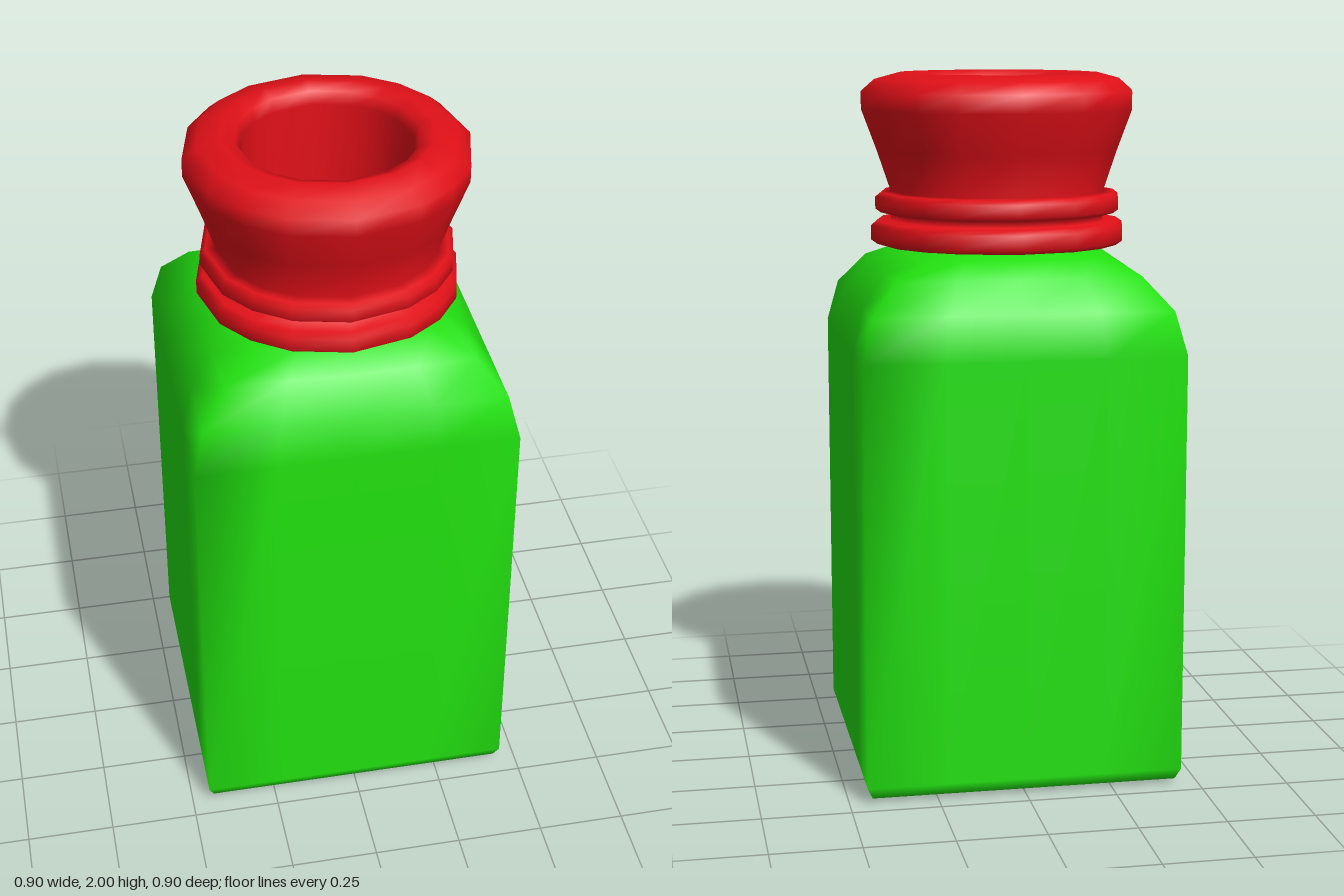
import * as THREE from 'three';

// Sixteen points around a square of half-width 1, counted from +x towards +z
const SQUARE = [];
for (let side = 0; side < 4; side++) {
  const c = [1, 0, -1, 0][side], s = [0, 1, 0, -1][side];
  for (const t of [-1, -0.5, 0, 0.5]) SQUARE.push([c - s * t, s + c * t]);
}

// Skins rings of [half-width, height, roundness]; roundness 0 = square, 1 = circle
function loft(name, material, rings) {
  const n = SQUARE.length, positions = [], index = [];
  for (const [r, y, round] of rings) {
    for (const [x, z] of SQUARE) {
      const k = r * (1 - round + round / Math.hypot(x, z));
      positions.push(x * k, y, z * k);
    }
  }
  for (let i = 0; i < rings.length - 1; i++) {
    for (let j = 0; j < n; j++) {
      const a = i * n + j, b = i * n + (j + 1) % n;
      index.push(a, a + n, b, b, a + n, b + n);
    }
  }
  const geometry = new THREE.BufferGeometry();
  geometry.setAttribute('position', new THREE.Float32BufferAttribute(positions, 3));
  geometry.setIndex(index);
  geometry.computeVertexNormals();
  const mesh = new THREE.Mesh(geometry, material);
  mesh.name = name;
  return mesh;
}

const round = (points) => points.map(([r, y]) => [r, y, 1]);

export function createModel() {
  const green = new THREE.MeshStandardMaterial({ color: 0x22e010 });
  const red = new THREE.MeshStandardMaterial({ color: 0xe01018 });
  const blue = new THREE.MeshStandardMaterial({ color: 0x180cd0 });
  const model = new THREE.Group();
  model.name = 'bottle';

  // Square body with a bevelled base and shoulders that turn round at the neck
  model.add(loft('body', green, [
    [0, 0, 0], [0.4, 0, 0], [0.435, 0.012, 0], [0.45, 0.045, 0],
    [0.45, 1.24, 0], [0.42, 1.36, 0], [0.36, 1.45, 0.15],
    [0.3, 1.495, 0.6], [0.23, 1.515, 1],
  ]));

  // Neck: two collar rings, flared lip, then the inner wall going back down
  model.add(loft('neck', red, round([
    [0.23, 1.515], [0.35, 1.517], [0.368, 1.53], [0.368, 1.57], [0.35, 1.583],
    [0.31, 1.585], [0.31, 1.605],
    [0.34, 1.607], [0.355, 1.618], [0.355, 1.652], [0.34, 1.664],
    [0.31, 1.667], [0.35, 1.785], [0.393, 1.9], [0.393, 1.95],
    [0.355, 1.983], [0.29, 2], [0.25, 1.985], [0.238, 1.95], [0.238, 1.5],
  ])));

  // Contents seen through the mouth
  model.add(loft('liquid', blue, round([[0.238, 1.53], [0, 1.53]])));
  return model;
}
